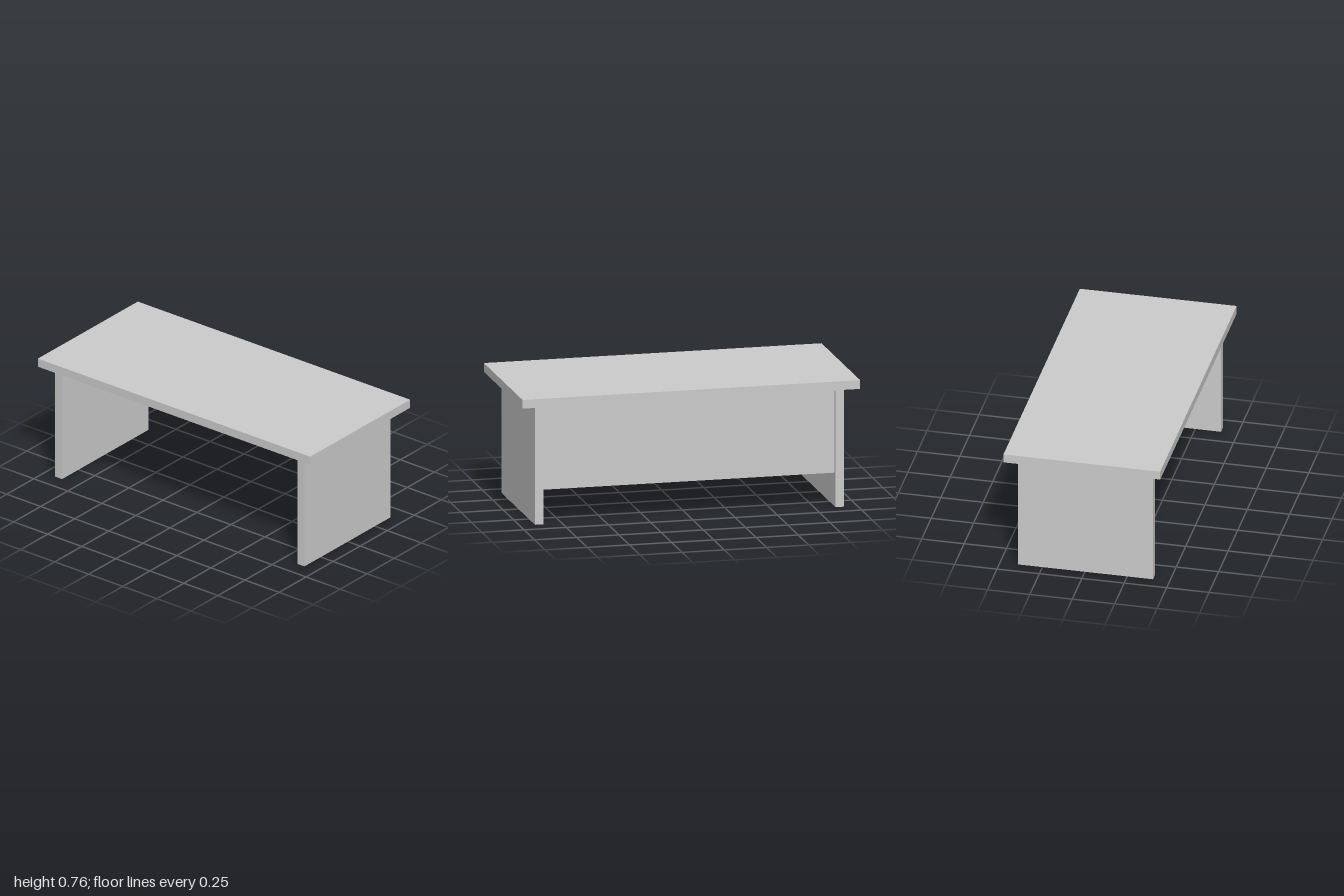
import * as THREE from 'three';

export function createModel() {
  const desk = new THREE.Group();
  desk.name = 'desk';
  const material = new THREE.MeshStandardMaterial({ color: 0xcccccc });

  // Flat board given by its lower and upper corners
  function board(name, min, max) {
    const size = max.map((v, i) => v - min[i]);
    const mesh = new THREE.Mesh(new THREE.BoxGeometry(...size), material);
    mesh.position.set(...max.map((v, i) => (v + min[i]) / 2));
    mesh.name = name;
    desk.add(mesh);
  }

  const underside = 0.708;

  // Overhanging top
  board('tabletop', [-0.462, underside, -1], [0.462, 0.76, 1]);

  // Slab legs at both ends
  board('frontLeg', [-0.402, 0, 0.86], [0.395, underside, 0.91]);
  board('backLeg', [-0.402, 0, -0.92], [0.395, underside, -0.87]);

  // Modesty panel between the legs, slightly set back from their edges
  board('modestyPanel', [0.327, 0.2, -0.87], [0.377, underside, 0.86]);

  return desk;
}
